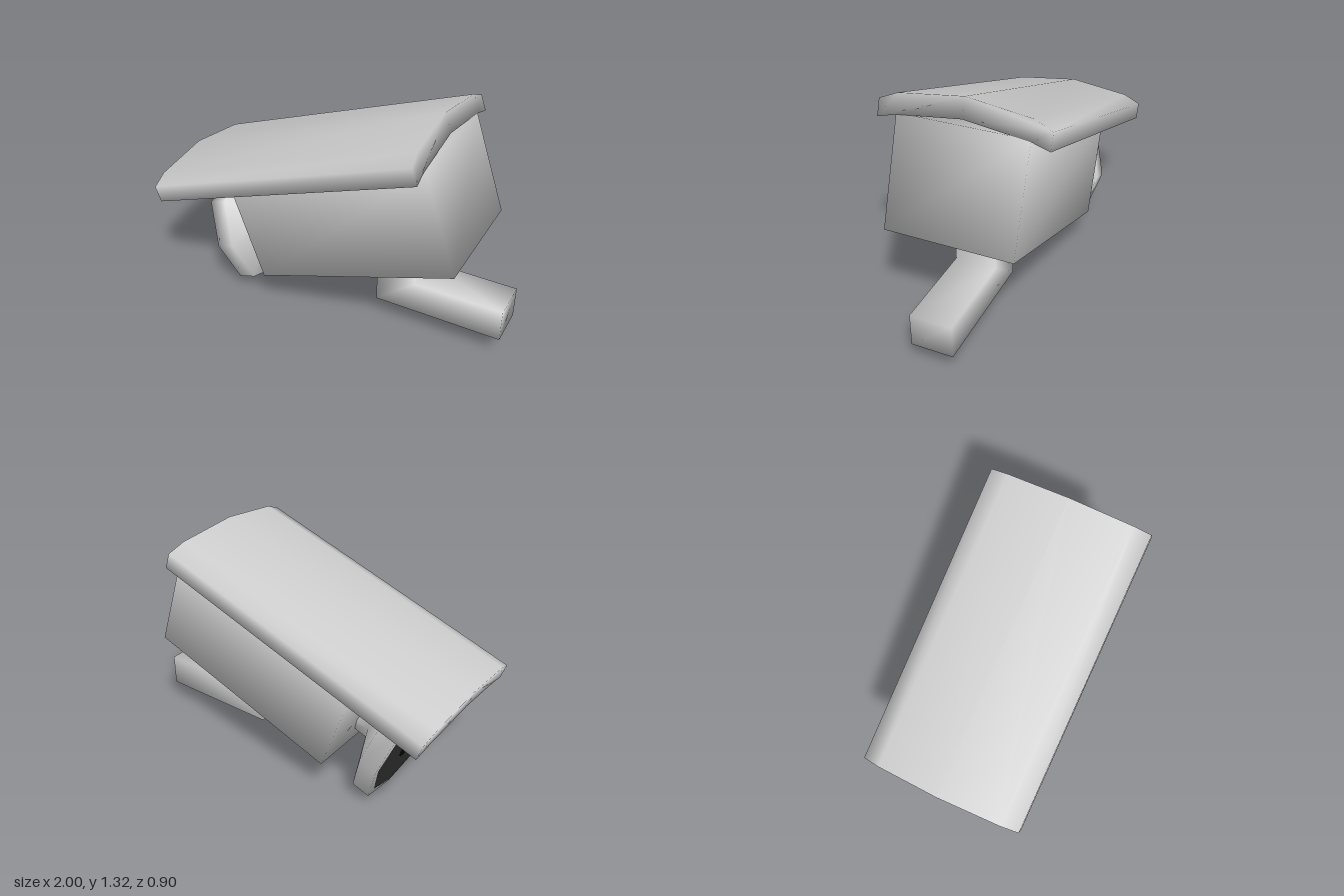
import * as THREE from 'three';
import { mergeVertices } from 'three/addons/utils/BufferGeometryUtils.js';

const grey = new THREE.MeshStandardMaterial({ color: 0xcccccc });
const dark = new THREE.MeshStandardMaterial({ color: 0x333333 });
const black = new THREE.MeshStandardMaterial({ color: 0x050505 });

// Weld corners so the shading flows softly over the low-poly forms
function smooth(geometry) {
  geometry.deleteAttribute('normal');
  geometry.deleteAttribute('uv');
  const welded = mergeVertices(geometry, 1e-4);
  welded.computeVertexNormals();
  return welded;
}

function part(name, geometry, material = grey) {
  const mesh = new THREE.Mesh(geometry, material);
  mesh.name = name;
  return mesh;
}

function extrude(points, depth) {
  const shape = new THREE.Shape(points.map(([x, y]) => new THREE.Vector2(x, y)));
  return new THREE.ExtrudeGeometry(shape, { depth, bevelEnabled: false });
}

export function createModel() {
  const model = new THREE.Group();
  model.name = 'securityCamera';

  // Tilted head: local x runs along the camera, the lens points to -x
  const head = new THREE.Group();
  head.name = 'cameraHead';
  head.rotation.z = THREE.MathUtils.degToRad(19.4);
  model.add(head);

  // Box housing, its top hidden inside the hood
  const body = new THREE.BoxGeometry(1.2, 0.59, 0.7);
  body.translate(0.365, 0.63, 0);
  head.add(part('body', smooth(body)));

  // Bowed sun hood: mirrored cross-section swept along the head
  const upper = [[-0.45, 0.98], [-0.35, 1.022], [0, 1.064]];
  const lower = [[0, 0.955], [-0.35, 0.915], [-0.45, 0.888]];
  const flip = ([z, y]) => [-z, y];
  const section = [
    ...upper, ...upper.slice(0, 2).reverse().map(flip),
    ...lower.slice(1).reverse().map(flip), ...lower,
  ];
  const hood = extrude(section, 1.653);
  hood.rotateY(Math.PI / 2);
  hood.translate(-0.686, 0, 0);
  head.add(part('hood', smooth(hood)));

  // Eight-sided lens housing: rim, cone and neck
  const profile = [[0, -0.517], [0.33, -0.517], [0.33, -0.411], [0.108, -0.31], [0.108, -0.2]]
    .map(([r, y]) => new THREE.Vector2(r, y));
  const lensHousing = new THREE.LatheGeometry(profile, 8);
  const p = lensHousing.attributes.position;
  for (let i = 0; i < p.count; i++) {
    // Push the diagonal corners out a little
    if (Math.abs(p.getX(i)) > 0.01 && Math.abs(p.getZ(i)) > 0.01) {
      p.setX(i, p.getX(i) * 1.09);
      p.setZ(i, p.getZ(i) * 1.09);
    }
  }
  lensHousing.rotateZ(-Math.PI / 2);
  lensHousing.translate(0, 0.518, 0);
  head.add(part('lensHousing', smooth(lensHousing)));

  // Dark glass and its centre
  const disc = (name, radius, sides, x, material) => {
    const geometry = new THREE.CircleGeometry(radius, sides);
    geometry.rotateY(-Math.PI / 2);
    geometry.translate(x, 0.518, 0);
    head.add(part(name, geometry, material));
  };
  disc('lensGlass', 0.31, 8, -0.519, dark);
  disc('lensCentre', 0.09, 12, -0.522, black);

  // L-shaped mounting arm
  const arm = extrude([
    [0.27, 0.14], [1, 0.14], [1, 0.325], [0.5, 0.325], [0.5, 0.56], [0.27, 0.56],
  ], 0.23);
  arm.translate(0, 0, -0.115);
  model.add(part('mountingArm', smooth(arm)));

  return model;
}
